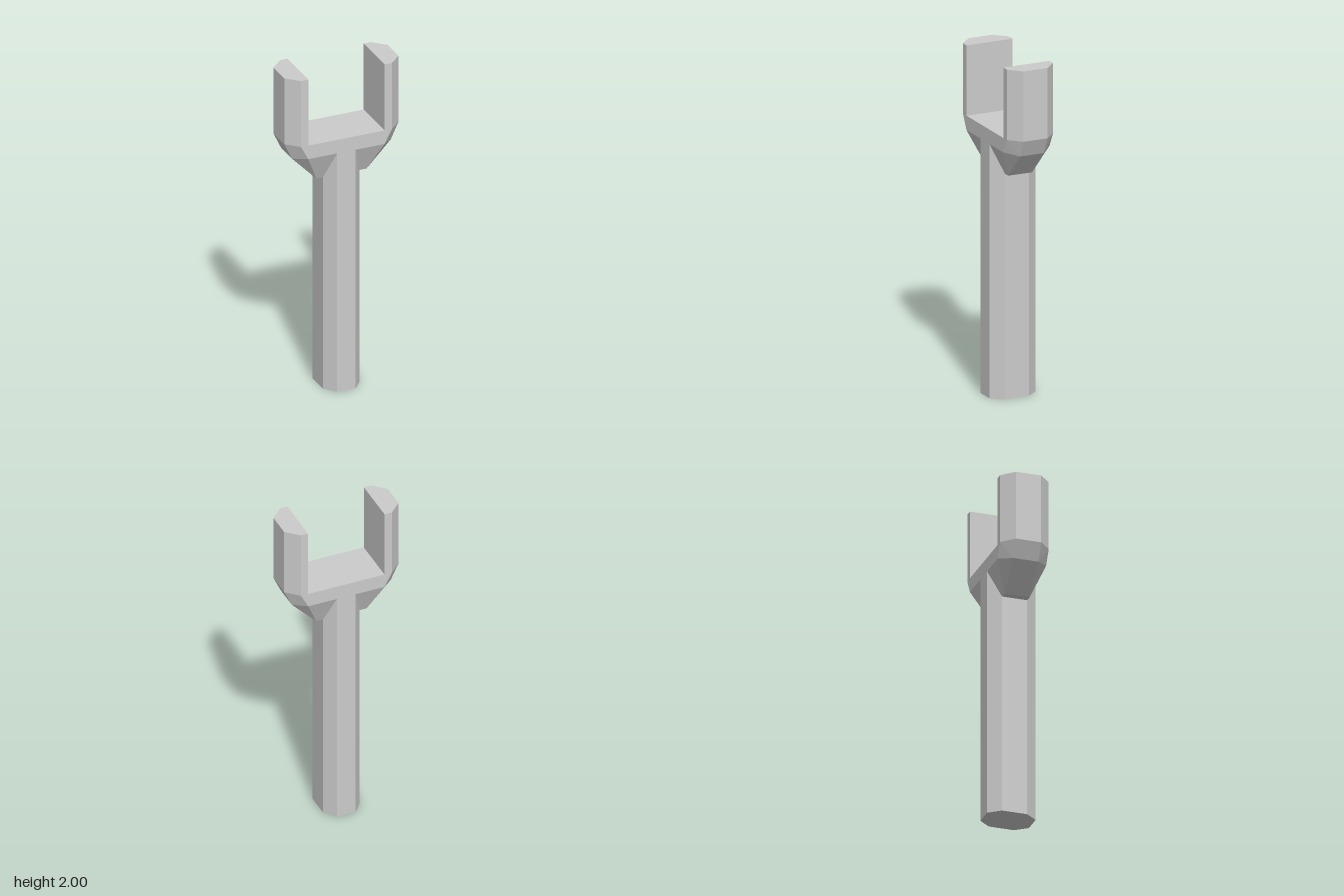
import * as THREE from 'three';
import { ConvexGeometry } from 'three/addons/geometries/ConvexGeometry.js';

const material = new THREE.MeshStandardMaterial({ color: 0xcccccc, flatShading: true });
const FRONT = 0.145; // half depth of the front flats
const SIDE = 0.075;  // half depth of the side flats

// Upright prism with an [x, z] outline, from y0 to y1
function prism(name, outline, y0, y1) {
  const shape = new THREE.Shape(outline.map(([x, z]) => new THREE.Vector2(x, -z)));
  const geometry = new THREE.ExtrudeGeometry(shape, { depth: y1 - y0, bevelEnabled: false });
  geometry.rotateX(-Math.PI / 2).translate(0, y0, 0);
  const mesh = new THREE.Mesh(geometry, material);
  mesh.name = name;
  return mesh;
}

export function createModel() {
  const model = new THREE.Group();
  model.name = 'forkedPost';

  // Eight-sided shaft
  model.add(prism('shaft', [
    [0.057, FRONT], [0.113, SIDE], [0.113, -SIDE], [0.057, -FRONT],
    [-0.057, -FRONT], [-0.113, -SIDE], [-0.113, SIDE], [-0.057, FRONT],
  ], 0, 1.5));

  // Faceted yoke: [x, y, z] corners mirrored into all four quadrants
  const corners = [
    [0.28, 1.585, FRONT], [0.352, 1.585, SIDE],
    [0.235, 1.5, FRONT], [0.305, 1.485, SIDE],
    [0.155, 1.33, SIDE],
  ];
  const points = [];
  for (const [x, y, z] of corners)
    for (const sx of [1, -1])
      for (const sz of [1, -1]) points.push(new THREE.Vector3(sx * x, y, sz * z));
  const yoke = new THREE.Mesh(new ConvexGeometry(points), material);
  yoke.name = 'yoke';
  model.add(yoke);

  // Two upright prongs with chamfered outer edges
  for (const [name, s] of [['leftProng', 1], ['rightProng', -1]]) {
    model.add(prism(name, [
      [s * 0.235, FRONT], [s * 0.28, FRONT], [s * 0.352, SIDE],
      [s * 0.352, -SIDE], [s * 0.28, -FRONT], [s * 0.235, -FRONT],
    ], 1.585, 2));
  }
  return model;
}
